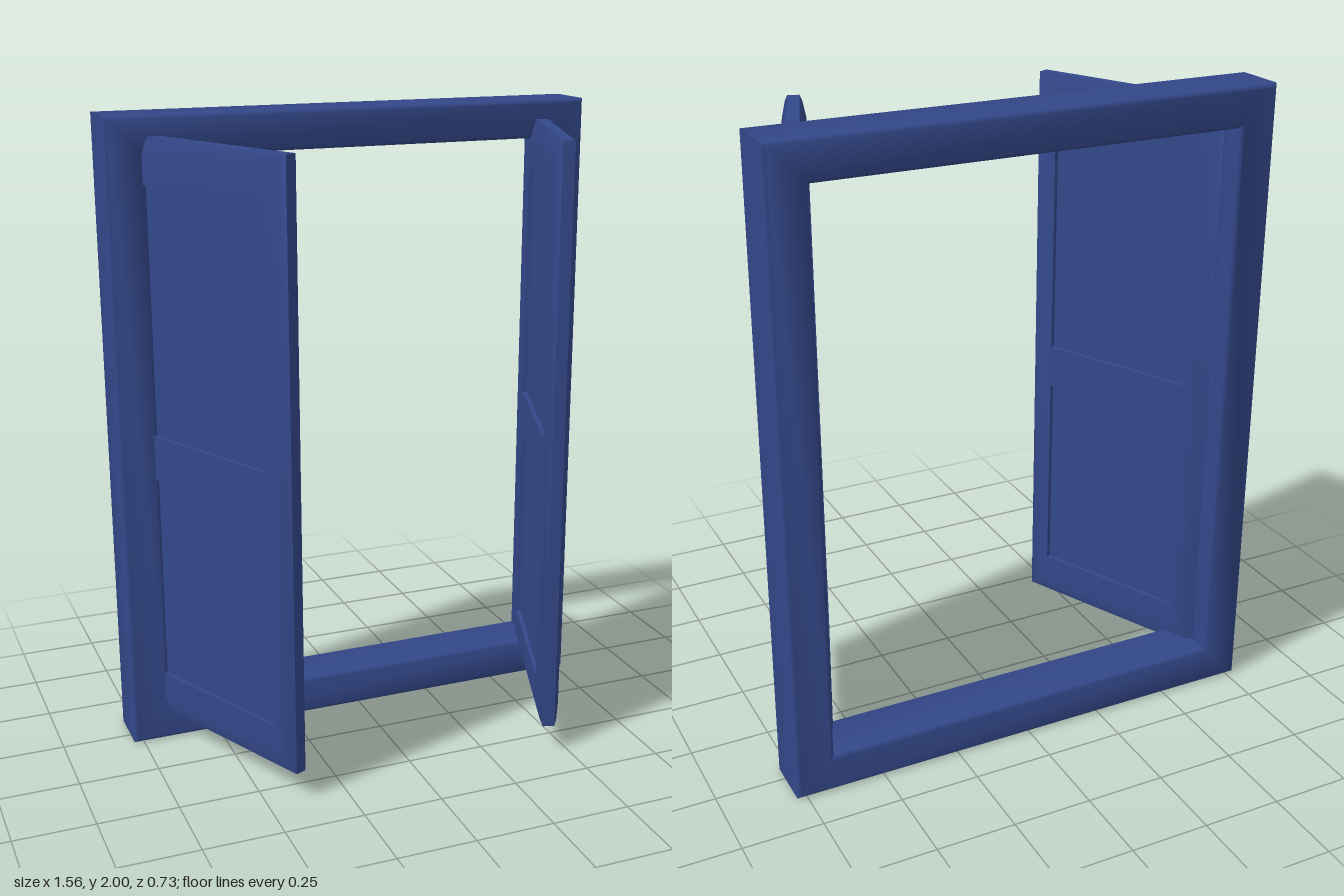
import * as THREE from 'three';
import { toCreasedNormals } from 'three/addons/utils/BufferGeometryUtils.js';

const paint = new THREE.MeshStandardMaterial({ color: 0x33488a });

function addMesh(parent, name, geometry, x = 0, y = 0, z = 0) {
  const mesh = new THREE.Mesh(geometry, paint);
  mesh.name = name;
  mesh.position.set(x, y, z);
  parent.add(mesh);
  return mesh;
}

// Rectangular surround: a closed profile of [inset x, inset y, z] carried round four corners
function surround(width, height, profile) {
  const corners = [[-1, -1], [1, -1], [1, 1], [-1, 1]];
  const n = profile.length;
  const positions = [];
  const indices = [];
  corners.forEach(([sx, sy], c) => {
    profile.forEach(([ix, iy, z], j) => {
      positions.push(sx * (width / 2 - ix), sy * (height / 2 - iy), z);
      const next = ((c + 1) % 4) * n;
      const k = (j + 1) % n;
      const a = c * n + j, b = next + j, d = next + k, e = c * n + k;
      indices.push(a, b, d, a, d, e);
    });
  });
  const geometry = new THREE.BufferGeometry();
  geometry.setAttribute('position', new THREE.Float32BufferAttribute(positions, 3));
  geometry.setIndex(indices);
  return toCreasedNormals(geometry, THREE.MathUtils.degToRad(50));
}

// Door leaf: hinge at local x = 0, width along +x
function makeDoor(name) {
  const W = 0.68, H = 1.85, T = 0.036, edge = 0.018, bevel = 0.055;
  const stile = 0.08, rail = 0.14;
  const door = new THREE.Group();
  door.name = name;
  const profile = [
    [0, 0, -edge], [0, 0, edge],
    [0.015, 0.015, 0.026], [bevel, bevel, T],
    [stile, rail, T], [stile, rail, -T],
    [bevel, bevel, -T], [0.015, 0.015, -0.026],
  ];
  addMesh(door, 'stilesAndRails', surround(W, H, profile), W / 2);
  addMesh(door, 'recessedPanels', new THREE.BoxGeometry(W - 2 * stile, H - 2 * rail, 0.044), W / 2);
  addMesh(door, 'middleRail', new THREE.BoxGeometry(W - 2 * stile, 0.14, 2 * T), W / 2, -0.055);
  return door;
}

export function createModel() {
  const model = new THREE.Group();
  model.name = 'openDoubleShutter';

  // Outer frame with softly bevelled edges
  const D = 0.09, s = 0.01, f = 0.12;
  const frameProfile = [
    [0, 0, -D + s], [0, 0, D - s], [s, s, D],
    [f - s, f - s, D], [f, f, D - s],
    [f, f, -D + s], [f - s, f - s, -D], [s, s, -D],
  ];
  addMesh(model, 'frame', surround(1.56, 2, frameProfile), 0, 1, -0.277);

  // Two leaves swung forward by slightly different amounts
  for (const [name, x, angle] of [['rightDoor', -0.675, -65.5], ['leftDoor', 0.668, -110]]) {
    const door = makeDoor(name);
    door.position.set(x, 1.015, -0.28);
    door.rotation.y = THREE.MathUtils.degToRad(angle);
    model.add(door);
  }
  return model;
}
